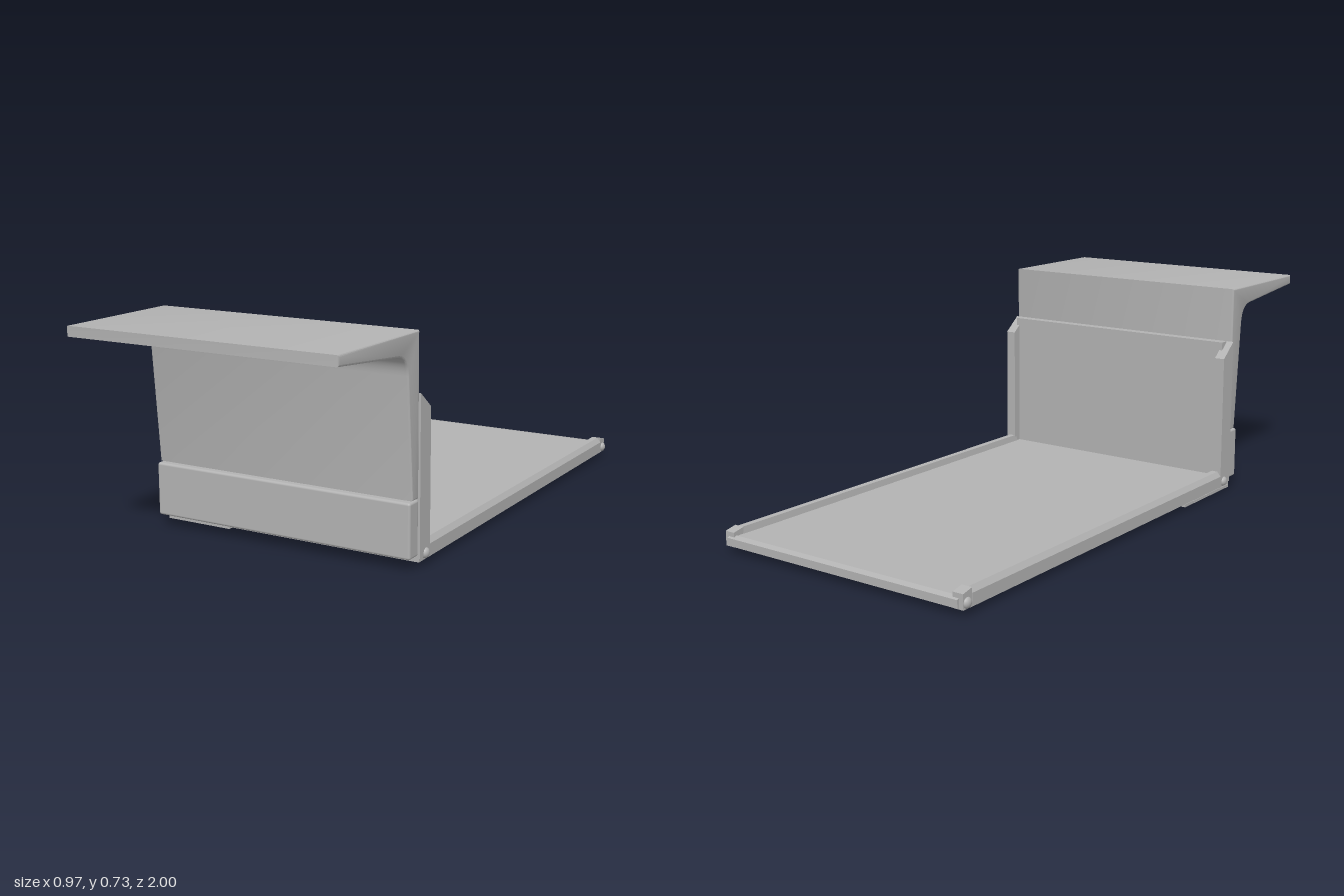
import * as THREE from 'three';
import { toCreasedNormals } from 'three/addons/utils/BufferGeometryUtils.js';
import { RoundedBoxGeometry } from 'three/addons/geometries/RoundedBoxGeometry.js';

const grey = new THREE.MeshStandardMaterial({ color: 0xb2b2b2 });
grey.name = 'grey';

export function createModel() {
  const model = new THREE.Group();
  model.name = 'shelfStand';

  const add = (name, geometry, x = 0, y = 0, z = 0) => {
    const mesh = new THREE.Mesh(geometry, grey);
    mesh.name = name;
    mesh.position.set(x, y, z);
    model.add(mesh);
    return mesh;
  };
  // box given by its limits on each axis
  const box = (name, x0, x1, y0, y1, z0, z1) =>
    add(name, new THREE.BoxGeometry(x1 - x0, y1 - y0, z1 - z0), (x0 + x1) / 2, (y0 + y1) / 2, (z0 + z1) / 2);
  const shapeOf = (points) => new THREE.Shape(points.map(([a, b]) => new THREE.Vector2(a, b)));
  // profile drawn in (z, y), swept across x and centred
  const acrossX = (shape, width, bevel = 0) => {
    const geometry = new THREE.ExtrudeGeometry(shape, {
      depth: width - 2 * bevel, curveSegments: 8, bevelEnabled: bevel > 0,
      bevelSize: bevel, bevelThickness: bevel, bevelOffset: -bevel, bevelSegments: 3,
    });
    geometry.translate(0, 0, bevel - width / 2);
    geometry.rotateY(-Math.PI / 2);
    return toCreasedNormals(geometry, 0.6);
  };

  // long floor slab with a slim lip at the back
  box('floor', -0.45, 0.45, 0.018, 0.055, -0.985, 0.51);
  add('backLip', acrossX(shapeOf([[-0.98, 0.02], [-0.998, 0.025], [-0.998, 0.05], [-0.98, 0.057]]), 0.92));

  // upright panel and the sill under it
  box('uprightPanel', -0.45, 0.45, 0.018, 0.54, 0.51, 0.545);
  box('frontSill', -0.472, 0.472, 0.018, 0.05, 0.49, 0.545);

  for (const s of [-1, 1]) {
    const side = s > 0 ? 'left' : 'right';

    // chamfered floor rail
    const section = [[0.475, 0.02], [0.475, 0.06], [0.462, 0.077], [0.44, 0.077], [0.435, 0.05], [0.435, 0.02]];
    add(side + 'Rail', new THREE.ExtrudeGeometry(shapeOf(section.map(([x, y]) => [s * x, y])),
      { depth: 1.44, bevelEnabled: false }), 0, 0, -0.95);

    // sloped end cap of the rail
    add(side + 'RailEnd', acrossX(shapeOf([[-0.95, 0.02], [-0.99, 0.02], [-0.99, 0.068], [-0.95, 0.077]]), 0.037),
      s * 0.456);

    // post with a slanted top
    add(side + 'Post', acrossX(shapeOf([[0.48, 0.03], [0.545, 0.03], [0.545, 0.54], [0.48, 0.488]]), 0.036), s * 0.457);

    // round pivots at both ends of the rail
    for (const z of [-0.972, 0.505]) {
      const pivot = new THREE.SphereGeometry(0.017, 16, 10);
      pivot.scale(0.75, 1, 1);
      add(side + 'Pivot', pivot, s * 0.473, 0.038, z);
    }
  }

  // overhanging shelf and its tapered back, joined by a fillet
  const bracket = new THREE.Shape();
  bracket.moveTo(0.545, 0.218);
  bracket.lineTo(0.582, 0.218);
  bracket.lineTo(0.613, 0.6);
  bracket.quadraticCurveTo(0.619, 0.657, 0.67, 0.664);
  bracket.lineTo(1, 0.694);
  bracket.lineTo(1, 0.727);
  bracket.lineTo(0.545, 0.727);
  bracket.closePath();
  add('shelfBracket', acrossX(bracket, 0.94, 0.006));

  // lower front block
  add('frontBlock', new RoundedBoxGeometry(0.94, 0.177, 0.056, 3, 0.008), 0, 0.127, 0.572);

  // plate under the floor
  box('underPlate', -0.475, -0.23, 0.009, 0.019, 0.23, 0.54);

  // small linkage under the floor: thin rod with a crossed clip at each end
  box('linkRod', 0.315, 0.325, 0.01, 0.016, 0.06, 0.47);
  for (const z of [0.06, 0.46]) {
    for (const tilt of [-0.12, 0.12]) {
      const clip = box('linkClip', 0.275, 0.37, 0.006, 0.011, z - 0.025, z + 0.025);
      clip.rotation.z = tilt;
      clip.rotation.y = tilt * 3;
    }
    box('linkPad', 0.3, 0.345, 0.008, 0.019, z - 0.05, z + 0.05);
  }

  return model;
}
